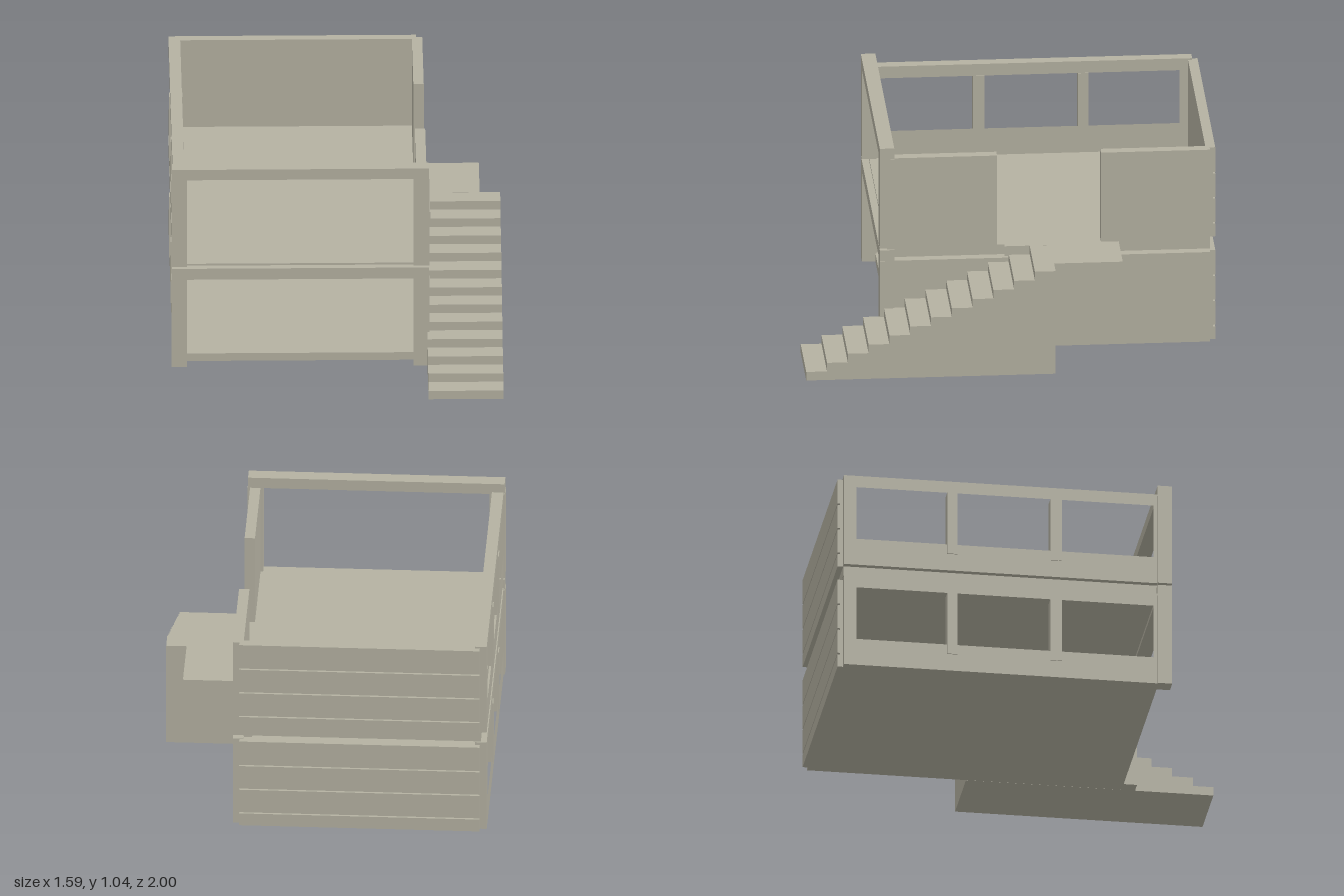
import * as THREE from 'three';

export function createModel() {
  const model = new THREE.Group();
  model.name = 'twoStoreyHouse';
  const concrete = new THREE.MeshStandardMaterial({ color: 0xb4b1a1 });
  concrete.name = 'warm grey concrete';

  // Box given by its extents on each axis
  function box(parent, name, x0, x1, y0, y1, z0, z1) {
    const mesh = new THREE.Mesh(new THREE.BoxGeometry(x1 - x0, y1 - y0, z1 - z0), concrete);
    mesh.position.set((x0 + x1) / 2, (y0 + y1) / 2, (z0 + z1) / 2);
    mesh.name = name;
    parent.add(mesh);
    return mesh;
  }

  // Closed outline in (z, y), extruded along x from x0 to x1
  function sidePanel(parent, name, points, holes, x0, x1) {
    const toShape = (list, Type) => new Type(list.map(([z, y]) => new THREE.Vector2(-z, y)));
    const shape = toShape(points, THREE.Shape);
    shape.holes = holes.map((h) => toShape(h, THREE.Path));
    const geo = new THREE.ExtrudeGeometry(shape, { depth: x1 - x0, bevelEnabled: false });
    geo.rotateY(Math.PI / 2);
    const mesh = new THREE.Mesh(geo, concrete);
    mesh.position.x = x0;
    mesh.name = name;
    parent.add(mesh);
  }
  const rect = (z0, z1, y0, y1) => [[z0, y0], [z1, y0], [z1, y1], [z0, y1]];

  // Parts shared by both storeys, built above the given base height
  function storey(name, base, wallTop, beamBottom, beamTop) {
    const g = new THREE.Group();
    g.name = name;

    // Front portal: two posts and a beam
    box(g, 'frontPostRight', -0.795, -0.72, base, beamBottom, 0.55, 0.62);
    box(g, 'frontPostLeft', 0.367, 0.442, base, beamBottom, 0.55, 0.62);
    box(g, 'frontBeam', -0.793, 0.44, beamBottom, beamTop, 0.55, 0.62);

    // Window wall with three openings
    const windows = [[-0.91, -0.47], [-0.42, 0.03], [0.085, 0.53]];
    const sill = base + 0.137, head = base + 0.41;
    sidePanel(g, 'windowWall', rect(-0.97, 0.55, base, wallTop),
      windows.map(([a, b]) => rect(a, b, sill, head)), -0.788, -0.732);
    for (const [a, b] of [[-0.47, -0.42], [0.03, 0.085]]) {
      box(g, 'windowPost', -0.793, -0.727, sill - 0.05, head, a, b);
    }

    // Back wall clad in horizontal boards
    box(g, 'backWall', -0.755, 0.4, base, base + 0.46, -0.985, -0.95);
    const joints = [0, 0.065, 0.195, 0.325, 0.46];
    for (let i = 0; i < 4; i++) {
      box(g, 'sidingBoard', -0.755, 0.4, base + joints[i] + (i ? 0.008 : 0),
        base + joints[i + 1], -0.997, -0.984);
    }
    model.add(g);
    return g;
  }

  // Lower storey with a full stair-side wall
  const lower = storey('lowerStorey', 0, 0.475, 0.462, 0.52);
  box(lower, 'groundFloor', -0.76, 0.4, 0, 0.04, -0.96, 0.555);
  box(lower, 'stairSideWall', 0.38, 0.432, 0, 0.462, -0.97, 0.55);

  // Upper storey with a doorway between two wall pieces
  const upper = storey('upperStorey', 0.53, 1.0, 0.99, 1.045);
  box(upper, 'upperFloor', -0.76, 0.43, 0.48, 0.53, -0.97, 0.585);
  box(upper, 'doorwayWallBack', 0.38, 0.43, 0.53, 0.99, -0.97, -0.445);
  box(upper, 'doorwayWallFront', 0.38, 0.43, 0.53, 0.99, 0.055, 0.55);

  // Landing outside the doorway
  const landing = new THREE.Group();
  landing.name = 'landing';
  box(landing, 'landingSlab', 0.43, 0.695, 0.48, 0.53, -0.53, -0.2);
  box(landing, 'landingEdge', 0.43, 0.455, 0.48, 0.53, -0.2, 0.02);
  model.add(landing);

  // Solid flight of twelve steps
  const steps = 12, rise = 0.5295 / steps, run = 0.1;
  const outline = [[1, 0]];
  for (let i = 0; i < steps; i++) {
    outline.push([1 - i * run, (i + 1) * rise], [1 - (i + 1) * run, (i + 1) * rise]);
  }
  outline.push([-0.2, 0]);
  sidePanel(model, 'outsideStairs', outline, [], 0.433, 0.793);

  return model;
}
